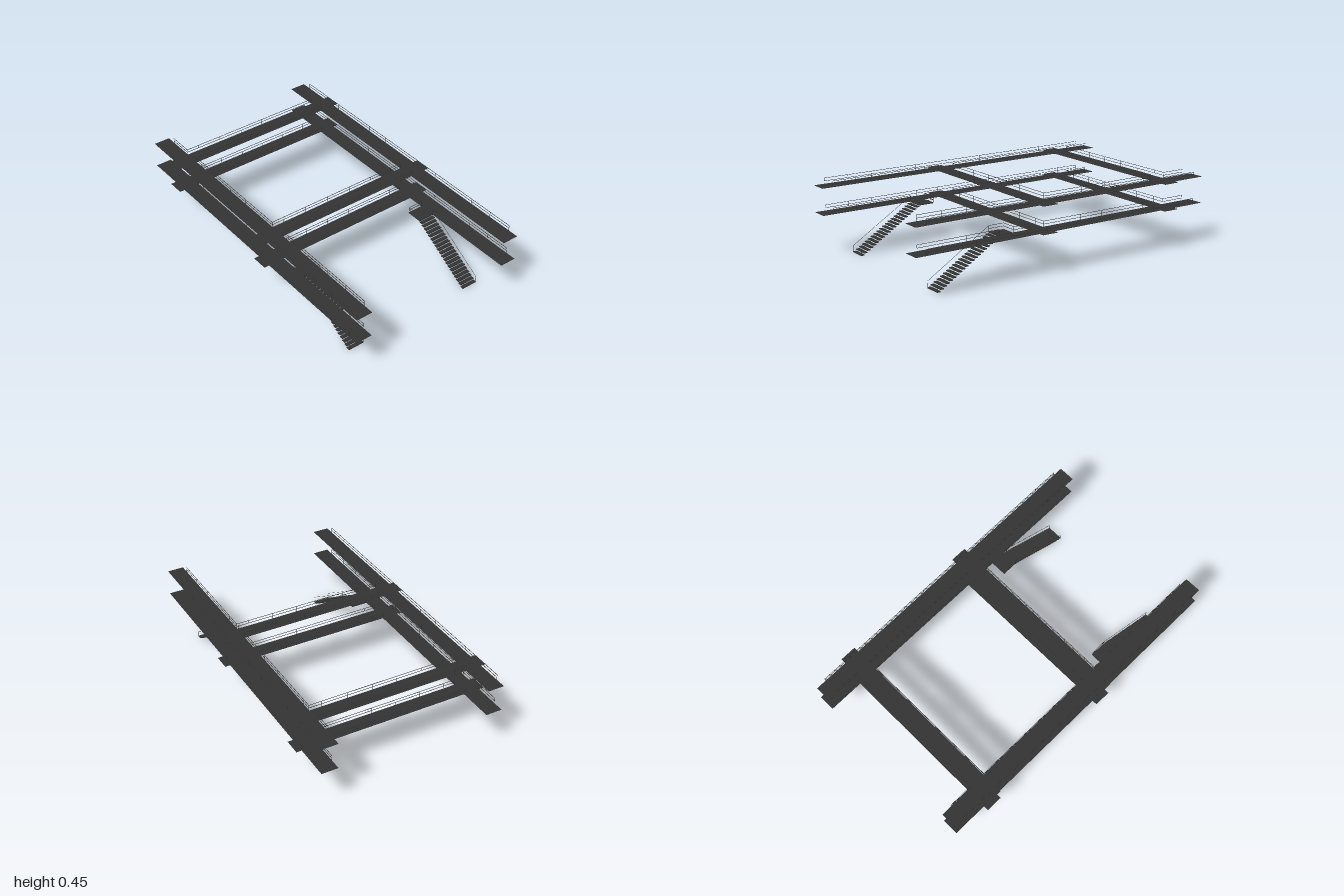
import * as THREE from 'three';

const DECK = 0.002, RAIL = 0.002, HANDRAIL = 0.0014;
const H = 0.0345, MID = 0.017; // heights of the top and middle rails
const LEVELS = [0.2525, 0.4145]; // walking surface heights
const INNER = 0.47, OUTER = 0.567;
const CROSS = [-0.731, 0.158]; // z of cross walkways
const END = 0.935, STEP = 0.156;

export function createModel() {
  const model = new THREE.Group();
  const material = new THREE.MeshStandardMaterial({ color: 0x333333 });

  function box(parent, name, w, h, d, x, y, z) {
    const mesh = new THREE.Mesh(new THREE.BoxGeometry(w, h, d), material);
    mesh.name = name;
    mesh.position.set(x, y, z);
    parent.add(mesh);
    return mesh;
  }

  // Thin square bar between two points
  function bar(parent, name, a, b, size) {
    const from = new THREE.Vector3(...a), to = new THREE.Vector3(...b);
    const mesh = box(parent, name, size, size, from.distanceTo(to), 0, 0, 0);
    mesh.position.addVectors(from, to).multiplyScalar(0.5);
    mesh.lookAt(to);
  }

  // Top rail, middle rail and posts at the given fractions of the run
  function railing(parent, name, a, b, y, posts) {
    const group = new THREE.Group();
    group.name = name;
    for (const h of [MID, H]) bar(group, 'rail', [a[0], y + h, a[1]], [b[0], y + h, b[1]], RAIL);
    for (const t of posts) {
      const x = a[0] + (b[0] - a[0]) * t, z = a[1] + (b[1] - a[1]) * t;
      box(group, 'post', HANDRAIL, H, HANDRAIL, x, y + H / 2, z);
    }
    parent.add(group);
  }

  // Railing along z, posts at both ends and on a shared spacing
  function longRailing(parent, name, x, z0, z1, y) {
    const posts = [0, 1];
    for (const k of [-5, -4, -2, -1, 1, 2, 4, 5]) {
      const t = (k * STEP - z0) / (z1 - z0);
      if (t > 0.01 && t < 0.99) posts.push(t);
    }
    railing(parent, name, [x, z0], [x, z1], y, posts);
  }

  LEVELS.forEach((y, level) => {
    const floor = new THREE.Group();
    floor.name = level ? 'upperLevel' : 'lowerLevel';

    // Long walkways with outer railing and interrupted inner railing
    for (const s of [-1, 1]) {
      box(floor, 'longWalkway', 0.1, DECK, 2, s * 0.518, y - DECK / 2, 0);
      longRailing(floor, 'outerRailing', s * OUTER, -END, END, y);
      const runs = [[-END, CROSS[0] - 0.05], [CROSS[0] + 0.05, CROSS[1] - 0.05]];
      if (level) runs.push([CROSS[1] + 0.05, END]);
      else runs.push([CROSS[1] + 0.05, 0.313], [0.412, END]); // opening at the stair landing
      for (const [z0, z1] of runs) longRailing(floor, 'innerRailing', s * INNER, z0, z1, y);
    }

    // Cross walkways railed on both edges between the long walkways
    for (const z of CROSS) {
      box(floor, 'crossWalkway', 1.2, DECK, 0.1, 0, y - DECK / 2 - 0.0003, z);
      for (const e of [-0.05, 0.05]) {
        railing(floor, 'crossRailing', [-INNER, z + e], [INNER, z + e], y,
          [1, 3, 5, 7, 9, 11].map((k) => k / 12));
      }
    }
    model.add(floor);
  });

  // Stairs down to the ground, one inside each long walkway
  const top = LEVELS[0], steps = 20;
  for (const s of [-1, 1]) {
    const stair = new THREE.Group();
    stair.name = s > 0 ? 'leftStair' : 'rightStair';
    const x = s * 0.419, near = s * 0.37, far = s * 0.468;
    box(stair, 'landing', 0.1, 0.005, 0.1, x, top - 0.0035, 0.362);
    railing(stair, 'landingSideRailing', [near, 0.313], [near, 0.412], top, [0, 1]);
    railing(stair, 'landingEndRailing', [near, 0.313], [far, 0.313], top, [0, 1]);
    for (let i = 0; i < steps; i++) {
      box(stair, 'tread', 0.1, 0.006, 0.022, x, 0.003 + i * 0.0125, 0.803 - i * 0.02);
    }
    for (const rx of [near, far]) {
      bar(stair, 'handrail', [rx, 0.04, 0.813], [rx, top + H, 0.412], HANDRAIL);
      box(stair, 'handrailPost', HANDRAIL, 0.04, HANDRAIL, rx, 0.02, 0.813);
      box(stair, 'handrailPost', HANDRAIL, H, HANDRAIL, rx, top + H / 2, 0.412);
    }
    model.add(stair);
  }
  return model;
}
